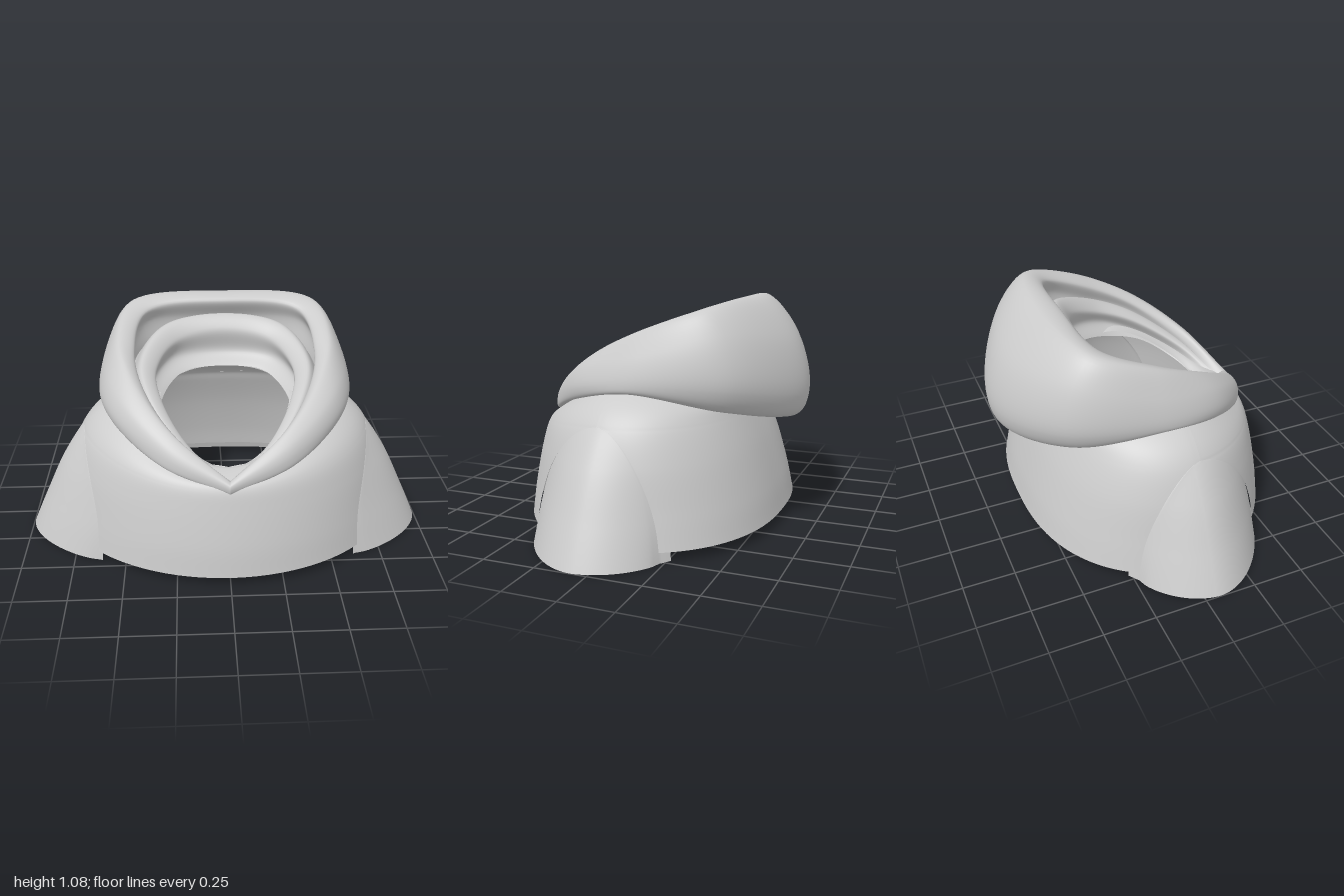
import * as THREE from 'three';

const material = new THREE.MeshStandardMaterial({ color: 0xcccccc, side: THREE.DoubleSide });
const V = (x, y, z = 0) => new THREE.Vector3(x, y, z);
const lerp = THREE.MathUtils.lerp;

// Smooth surface from a rule point(u, v), with u and v running 0..1
function surface(name, nu, nv, point) {
  const pos = [], index = [];
  for (let j = 0; j <= nv; j++)
    for (let i = 0; i <= nu; i++) pos.push(...point(i / nu, j / nv).toArray());
  for (let j = 0; j < nv; j++)
    for (let i = 0; i < nu; i++) {
      const a = j * (nu + 1) + i, b = a + nu + 1;
      index.push(a, a + 1, b, a + 1, b + 1, b);
    }
  const g = new THREE.BufferGeometry();
  g.setAttribute('position', new THREE.Float32BufferAttribute(pos, 3));
  g.setIndex(index);
  g.computeVertexNormals();
  const mesh = new THREE.Mesh(g, material);
  mesh.name = name;
  return mesh;
}

// Body levels, hem to neck: side (x, y), front (z, y), back (z, y)
const profile = pts => new THREE.CatmullRomCurve3(pts.map(p => V(...p)), false, 'catmullrom', 0.5);
const side = profile([[0.84, 0.05], [0.81, 0.2], [0.77, 0.4], [0.705, 0.56], [0.6, 0.66], [0.45, 0.72], [0.32, 0.7]]);
const front = profile([[0.682, 0.05], [0.664, 0.2], [0.627, 0.38], [0.6, 0.47], [0.56, 0.5], [0.48, 0.52], [0.44, 0.5]]);
const back = profile([[-0.582, 0.05], [-0.55, 0.2], [-0.49, 0.4], [-0.425, 0.56], [-0.39, 0.63], [-0.3, 0.69], [-0.18, 0.75]]);
const MID = 0.05;

// Point on the body; angle 0 is the front, PI / 2 the left side; the back is squarer
function body(angle, v) {
  const s = side.getPoint(v), c = Math.cos(angle), n = Math.sin(angle);
  const e = (c > 0 ? front : back).getPoint(v);
  const x = s.x * Math.sign(n) * Math.abs(n) ** (c > 0 ? 1 : 0.8);
  return V(x, lerp(s.y, e.y, c * c), MID + (e.x - MID) * Math.abs(c) ** (c > 0 ? 1.13 : 1));
}

// Arched arm opening: front and back angle at each level
const height = v => Math.min(1, side.getPoint(v).y / 0.56);
const arch = v => (v >= 0.5 ? 0 : Math.sqrt(1 - height(v) ** 2));
const armFront = v => 1.47 - 0.62 * arch(v);
const armBack = v => 1.47 + 0.56 * arch(v);

const frontAngle = (u, v) => lerp(-armFront(v), armFront(v), u);
const backAngle = (u, v) => lerp(armBack(v), 2 * Math.PI - armBack(v), u);

// Bulging sleeve that fills the arm opening, its ends tucked behind the body
function sleeve(name, sign) {
  return surface(name, 64, 48, (u, t) => {
    const v = t * 0.5, s = height(v);
    const k = lerp(-0.02, 1.07, sign > 0 ? u : 1 - u);
    const p = body(lerp(armFront(v), armBack(v), k), v);
    const bulge = Math.sin(Math.PI * k);
    if (bulge > 0) p.x += 0.178 * (1 - s) ** 1.1 * bulge ** lerp(0.5, 1.3, s);
    else p.multiply(V(1 + bulge * 0.15, 1, 1 + bulge * 0.15));
    p.y = Math.max(0, p.y - 0.066 * (1 - s) ** 3);
    p.x *= sign;
    return p;
  });
}

// Hood rings, left half from front centre to back centre
const groove = [[0, 0.48, 0.54], [0.25, 0.57, 0.41], [0.42, 0.71, 0.19], [0.465, 0.77, -0.02], [0.38, 0.84, -0.29], [0, 0.85, -0.36]];
const hoodRings = [
  // tucked underside, lower edge, widest line
  [[0, 0.48, 0.55], [0.25, 0.57, 0.43], [0.43, 0.68, 0.22], [0.5, 0.71, -0.03], [0.36, 0.67, -0.27], [0, 0.63, -0.38]],
  [[0, 0.455, 0.605], [0.3, 0.54, 0.5], [0.53, 0.645, 0.26], [0.61, 0.695, -0.02], [0.46, 0.615, -0.42], [0, 0.535, -0.64]],
  [[0, 0.48, 0.615], [0.3, 0.59, 0.505], [0.55, 0.7, 0.26], [0.624, 0.74, -0.06], [0.5, 0.72, -0.47], [0, 0.65, -0.683]],
  // upper outside, crest, inner lip
  [[0, 0.5, 0.61], [0.295, 0.65, 0.48], [0.515, 0.79, 0.25], [0.595, 0.86, -0.06], [0.49, 0.94, -0.43], [0, 0.9, -0.605]],
  [[0, 0.51, 0.59], [0.265, 0.685, 0.44], [0.45, 0.855, 0.2], [0.52, 0.965, -0.04], [0.45, 1.065, -0.33], [0, 1.08, -0.41]],
  [[0, 0.505, 0.57], [0.23, 0.635, 0.435], [0.39, 0.8, 0.22], [0.44, 0.915, 0], [0.38, 1.03, -0.26], [0, 1.06, -0.305]],
  // inside wall
  [[0, 0.49, 0.55], [0.25, 0.6, 0.42], [0.42, 0.76, 0.2], [0.47, 0.84, -0.02], [0.4, 0.95, -0.28], [0, 0.95, -0.355]],
  groove,
];
// Inner collar: groove, crest, inner edge, underside, neck base
const collarRings = [
  groove,
  [[0, 0.495, 0.55], [0.225, 0.62, 0.43], [0.37, 0.77, 0.21], [0.405, 0.865, 0], [0.28, 0.965, -0.23], [0, 0.995, -0.295]],
  [[0, 0.485, 0.54], [0.18, 0.6, 0.42], [0.31, 0.74, 0.2], [0.335, 0.825, 0], [0.23, 0.9, -0.18], [0, 0.93, -0.23]],
  [[0, 0.47, 0.5], [0.215, 0.56, 0.4], [0.34, 0.67, 0.21], [0.36, 0.74, 0.03], [0.25, 0.8, -0.18], [0, 0.81, -0.24]],
  [[0, 0.5, 0.435], [0.205, 0.53, 0.385], [0.3, 0.62, 0.24], [0.31, 0.68, 0.05], [0.2, 0.74, -0.14], [0, 0.75, -0.18]],
];

// Loft through mirrored rings that keep a sharp V at the front
function loft(name, rings, nu, nv) {
  const curves = rings.map(r => new THREE.CatmullRomCurve3([
    ...r.map(p => V(...p)),
    ...r.slice(0, -1).reverse().map(([x, y, z]) => V(-x, y, z)),
  ]));
  const cross = Array.from({ length: nu + 1 }, (_, i) =>
    new THREE.CatmullRomCurve3(curves.map(c => c.getPoint(i / nu))));
  return surface(name, nu, nv, (u, v) => cross[Math.round(u * nu)].getPoint(v));
}

export function createModel() {
  const model = new THREE.Group();
  model.name = 'hoodedShoulderGarment';

  // Body panels and their turned-up hems
  for (const [name, angle] of [['frontPanel', frontAngle], ['backPanel', backAngle]]) {
    model.add(surface(name, 64, 72, (u, v) => body(angle(u, v), v)));
    model.add(surface(name + 'Hem', 64, 1, (u, v) => {
      const p = body(angle(u, 0), 0), k = lerp(0.98, 1, v);
      return V(p.x * k, lerp(0.085, p.y, v), p.z * k);
    }));
  }

  model.add(sleeve('leftSleeve', 1), sleeve('rightSleeve', -1));
  model.add(loft('hood', hoodRings, 120, 56));
  model.add(loft('innerCollar', collarRings, 120, 32));
  return model;
}
